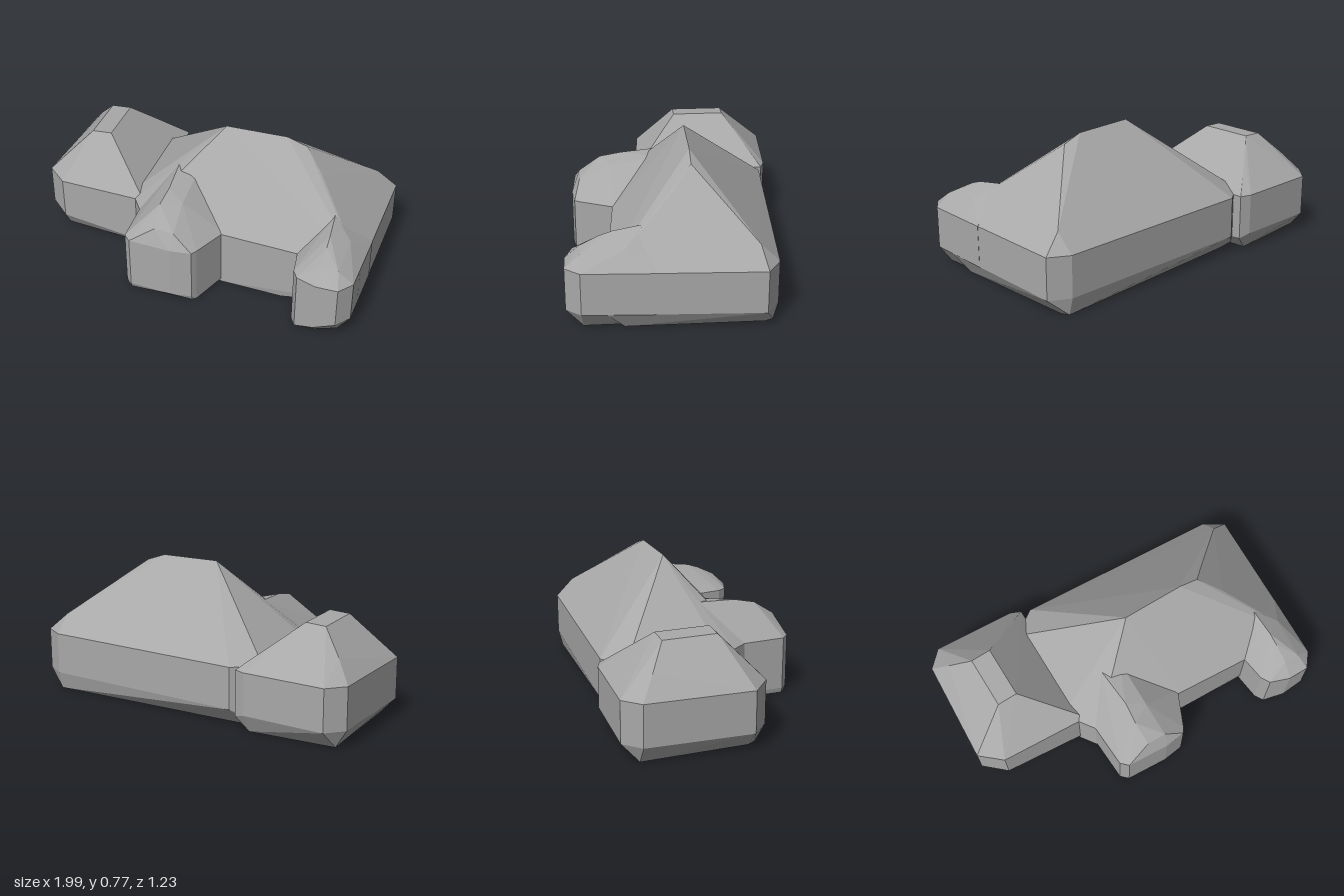
import * as THREE from 'three';
import { ConvexGeometry } from 'three/addons/geometries/ConvexGeometry.js';

const EAVE = 0.335;

export function createModel() {
  const model = new THREE.Group();
  model.name = 'house';
  const grey = new THREE.MeshStandardMaterial({ color: 0xa8a8a8, flatShading: true });
  grey.name = 'plain grey';

  // Hipped block: outline corners [x, z, bevel height], then ridge points [x, y, z].
  function block(name, outline, ridge) {
    const xs = outline.map((p) => p[0]), zs = outline.map((p) => p[1]);
    const x0 = Math.min(...xs), x1 = Math.max(...xs);
    const z0 = Math.min(...zs), z1 = Math.max(...zs);
    const points = ridge.map((p) => new THREE.Vector3(...p));
    for (const [x, z, bevel = 0.1] of outline) {
      const inset = bevel * 0.9;
      points.push(new THREE.Vector3(x, EAVE, z), new THREE.Vector3(x, bevel, z));
      // foot corner pulled inside the walls
      points.push(new THREE.Vector3(
        THREE.MathUtils.clamp(x, x0 + inset, x1 - inset), 0,
        THREE.MathUtils.clamp(z, z0 + inset, z1 - inset)));
    }
    const mesh = new THREE.Mesh(new ConvexGeometry(points), grey);
    mesh.name = name;
    model.add(mesh);
  }

  // Long main hall with a ridge running left to right
  block('mainHall', [
    [-0.45, -0.45, 0.03], [-0.3, -0.55], [0.88, -0.485], [0.99, -0.415],
    [0.952, 0.4], [0.52, 0.365, 0.02], [0.18, 0.35, 0.02],
    [-0.34, 0.29, 0.03], [-0.41, 0.19, 0.03], [-0.45, 0.1, 0.03],
  ], [
    [0.06, 0.775, -0.06], [0.41, 0.775, -0.06], [0.525, 0.735, -0.06],
    [0.64, 0.635, -0.16], [0.88, 0.435, -0.385],
    [0.64, 0.635, 0.04], [-0.06, 0.655, -0.09],
  ]);

  // Side wing with a ridge running front to back
  block('sideWing', [
    [-0.97, -0.53], [-0.88, -0.62], [-0.41, -0.595], [-0.35, -0.57, 0.08],
    [-0.36, 0.19, 0.03], [-0.41, 0.19, 0.04], [-0.88, 0.165, 0.09], [-1, 0.06],
  ], [
    [-0.765, 0.575, -0.36], [-0.65, 0.582, -0.36],
    [-0.765, 0.575, -0.06], [-0.65, 0.582, -0.06],
    [-0.88, 0.45, -0.45], [-0.53, 0.48, -0.45], [-0.53, 0.475, 0.02],
  ]);

  // Wide front bay
  block('wideBay', [
    [-0.36, 0.05, 0.03], [-0.34, 0.29, 0.03], [-0.34, 0.52, 0.03], [-0.3, 0.56, 0.03],
    [-0.06, 0.575, 0.03], [0.06, 0.56, 0.03], [0.08, 0.53, 0.03],
    [0.1, 0.41, 0.03], [0.17, 0.33, 0.02], [0.17, 0.05, 0.02],
  ], [
    [-0.18, 0.55, 0.06], [-0.16, 0.535, 0.29], [-0.06, 0.5, 0.35],
    [-0.17, 0.51, 0.41], [-0.16, 0.43, 0.53], [-0.05, 0.42, 0.53], [-0.06, 0.54, 0.06],
  ]);

  // Narrow front bay at the end of the hall
  block('narrowBay', [
    [0.965, 0.15], [0.945, 0.53], [0.88, 0.61], [0.76, 0.61, 0.05],
    [0.65, 0.57, 0.03], [0.62, 0.52, 0.03], [0.61, 0.41, 0.03], [0.58, 0.2, 0.02],
  ], [
    [0.76, 0.51, 0.2], [0.77, 0.485, 0.36], [0.77, 0.46, 0.43],
    [0.77, 0.41, 0.53], [0.86, 0.4, 0.53], [0.87, 0.43, 0.3],
  ]);

  return model;
}
